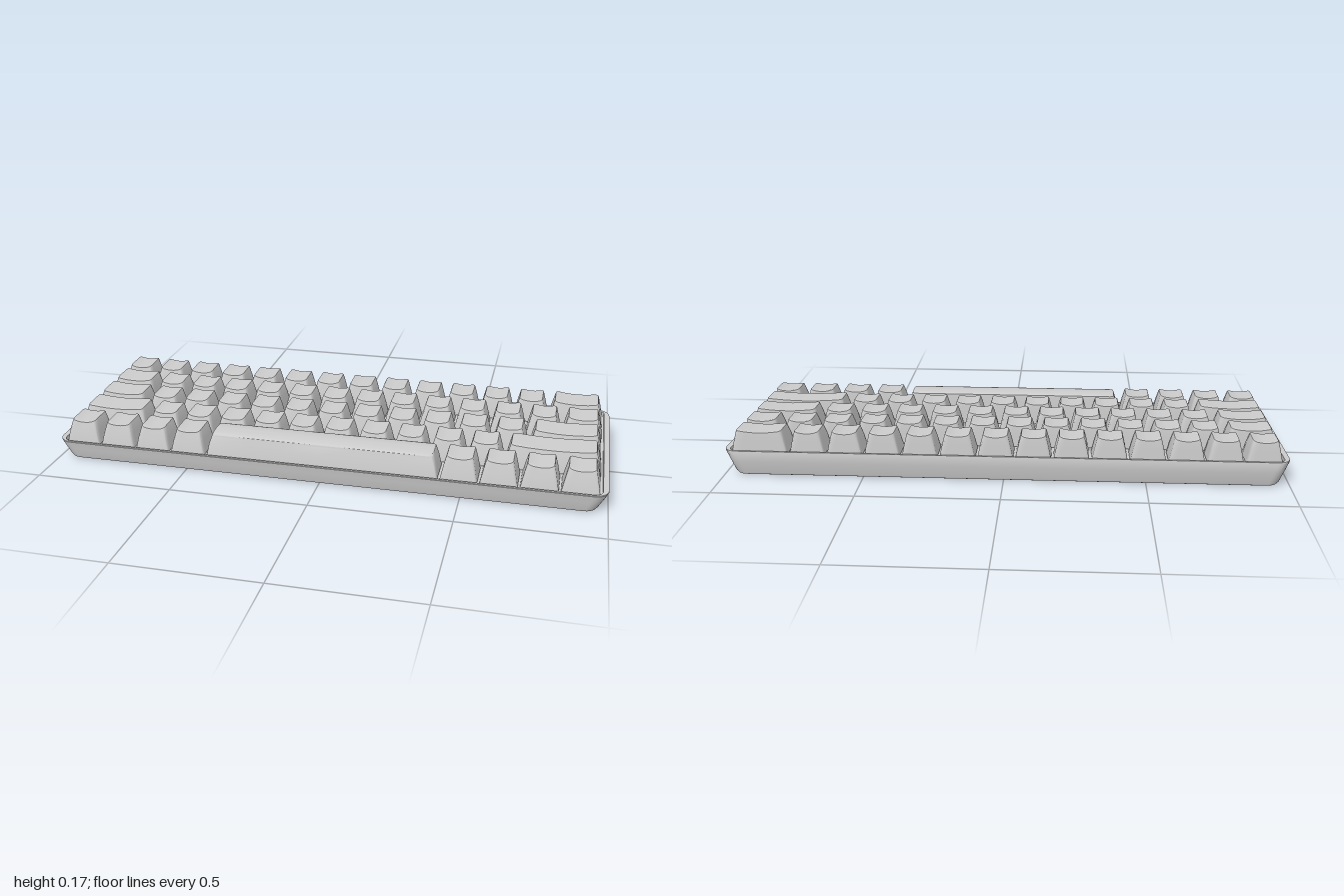
import * as THREE from 'three';
import { toCreasedNormals } from 'three/addons/utils/BufferGeometryUtils.js';

const material = new THREE.MeshStandardMaterial({ color: 0xcccccc });
const SLOPE = 0.0343;                       // the deck rises towards the back
const deckY = (z) => 0.083 - SLOPE * z;

// Rounded rectangle in the xz plane; straight edges are subdivided so they can bend.
function ring(hx, hz, r, yAt, dz = 0, arc = 3, cuts = 5) {
  const pts = [];
  const corners = [[1, 1], [-1, 1], [-1, -1], [1, -1]];
  corners.forEach(([sx, sz], k) => {
    const cx = sx * (hx - r), cz = sz * (hz - r);
    for (let i = 0; i <= arc; i++) {
      const a = (k + i / arc) * Math.PI / 2;
      pts.push([cx + r * Math.cos(a), cz + r * Math.sin(a)]);
    }
    const [nx, nz] = corners[(k + 1) % 4];
    const a = (k + 1) * Math.PI / 2;
    const from = pts[pts.length - 1];
    const to = [nx * (hx - r) + r * Math.cos(a), nz * (hz - r) + r * Math.sin(a)];
    for (let i = 1; i <= cuts; i++) {
      const t = i / (cuts + 1);
      pts.push([from[0] + (to[0] - from[0]) * t, from[1] + (to[1] - from[1]) * t]);
    }
  });
  return pts.map(([x, z]) => [x, yAt(x, z), z + dz]);
}

// Skin a series of rings; the first and last are closed with a fan.
function loft(rings, crease = 0.55) {
  const n = rings[0].length;
  const centre = (pts) => [0, 1, 2].map((c) => pts.reduce((s, p) => s + p[c], 0) / n);
  const pos = [];
  const first = rings[0], last = rings[rings.length - 1];
  const bottom = centre(first);
  const top = centre(last);
  for (let i = 0; i < n; i++) {
    const j = (i + 1) % n;
    pos.push(...bottom, ...first[i], ...first[j]);
    for (let k = 0; k < rings.length - 1; k++) {
      const a = rings[k], b = rings[k + 1];
      pos.push(...a[i], ...b[i], ...a[j], ...a[j], ...b[i], ...b[j]);
    }
    pos.push(...last[i], ...top, ...last[j]);
  }
  const g = new THREE.BufferGeometry();
  g.setAttribute('position', new THREE.Float32BufferAttribute(pos, 3));
  return toCreasedNormals(g, crease);
}

// Tray with flared sides, softened foot, thin rim and recessed deck
function caseGeometry() {
  const mix = (t) => (x, z) => 0.012 + (deckY(z) - 0.012) * t;
  const shape = (hx, hz, r, y) => ring(hx, hz, r, y, 0, 6, 2);
  return loft([
    shape(0.95, 0.326, 0.035, () => 0),
    shape(0.96, 0.335, 0.04, () => 0.004),
    shape(0.967, 0.338, 0.042, mix(0)),
    shape(0.984, 0.343, 0.046, mix(0.5)),
    shape(0.998, 0.349, 0.05, mix(0.96)),
    shape(0.997, 0.348, 0.049, mix(1)),
    shape(0.978, 0.34, 0.03, mix(1)),
    shape(0.977, 0.339, 0.029, (x, z) => deckY(z) - 0.016),
  ]);
}

// Tapered keycap; ordinary caps have a hollow top, the long bar a gently arched one
function keyGeometry(width, arched) {
  const hx = width / 2 - 0.004, hz = 0.063, h = 0.086;
  const tx = hx - 0.02, tz = hz - 0.012, shift = -0.009;
  const surface = (x, z) => arched
    ? h - 0.002 - 0.006 * (z / tz) ** 2
    : h - 0.008 + 0.008 * (x / tx) ** 2;
  const rings = [
    ring(hx, hz, 0.007, () => 0),
    ring(hx - 0.009, hz - 0.005, 0.009, () => h * 0.5, shift * 0.4),
    ring(tx + 0.002, tz + 0.001, 0.013, (x, z) => surface(x, z) - 0.007, shift * 0.95),
    ring(tx, tz, 0.013, (x, z) => surface(x, z) - 0.002, shift),
    ring(tx - 0.003, tz - 0.003, 0.011, surface, shift),
  ];
  for (const s of [0.7, 0.4, 0.12]) {
    rings.push(ring(tx * s, tz * s, 0.011 * s, surface, shift));
  }
  return loft(rings);
}

export function createModel() {
  const model = new THREE.Group();
  model.name = 'keyboard';

  const tray = new THREE.Mesh(caseGeometry(), material);
  tray.name = 'case';
  model.add(tray);

  // Key widths per row, from back to front, stretched to fill the deck
  const ones = (n, w = 1) => Array(n).fill(w);
  const rows = [
    [...ones(13), 1.56],
    [1.42, ...ones(12), 1.14],
    [1.57, ...ones(11), 1.99],
    [2, ...ones(10), 2.56],
    [...ones(4, 1.02), 6.36, ...ones(4, 1.03)],
  ];
  const left = -0.973, span = 1.946;
  rows.forEach((widths, r) => {
    const row = new THREE.Group();
    row.name = `keyRow${r + 1}`;
    const unit = span / widths.reduce((a, b) => a + b, 0);
    const z = -0.272 + 0.134 * r;
    const cache = new Map();
    let x = left;
    widths.forEach((w) => {
      const isBar = w > 5;
      if (!cache.has(w)) cache.set(w, keyGeometry(w * unit, isBar));
      const key = new THREE.Mesh(cache.get(w), material);
      key.name = isBar ? 'spaceBar' : w > 1.1 ? 'wideKey' : 'key';
      key.position.set(x + w * unit / 2, deckY(z) - 0.012, z);
      key.rotation.x = Math.atan(SLOPE);
      row.add(key);
      x += w * unit;
    });
    model.add(row);
  });
  return model;
}
